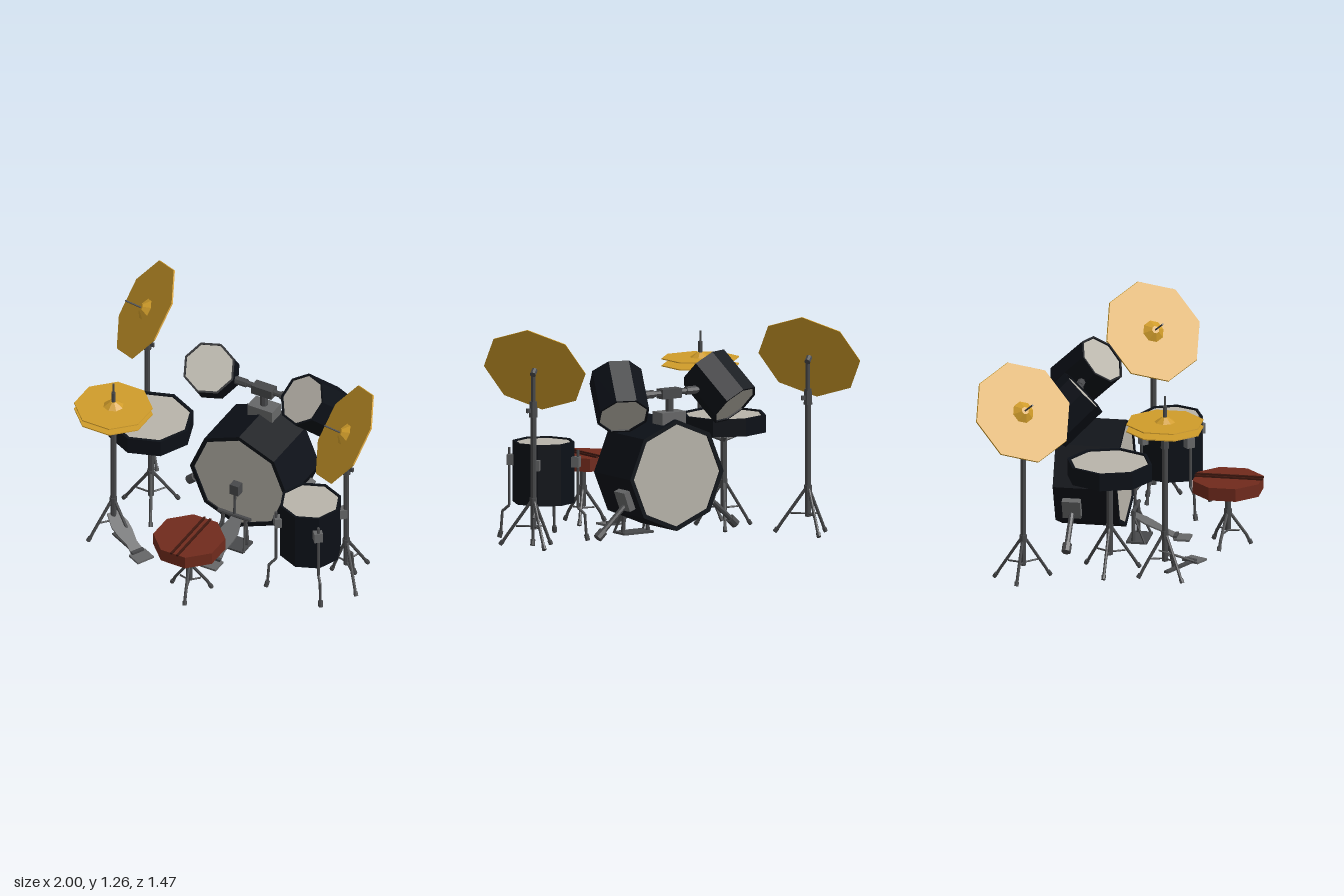
import * as THREE from 'three';

const mat = (color) => new THREE.MeshStandardMaterial({ color, flatShading: true, side: THREE.DoubleSide });
const black = mat(0x0c1017), skin = mat(0xb8b4aa), brass = mat(0xd09c2a);
const metal = mat(0x48494b), plate = mat(0x666768), red = mat(0x702a1c), darkRed = mat(0x40180f);
const V = (x, y, z) => new THREE.Vector3(x, y, z);
const UP = V(0, 1, 0);

function add(parent, name, geo, material, x = 0, y = 0, z = 0) {
  const m = new THREE.Mesh(geo, material);
  m.name = name;
  m.position.set(x, y, z);
  parent.add(m);
  return m;
}
function group(parent, name, x = 0, y = 0, z = 0) {
  const g = new THREE.Group();
  g.name = name;
  g.position.set(x, y, z);
  parent.add(g);
  return g;
}
const box = (p, name, w, h, d, x, y, z, m = metal) => add(p, name, new THREE.BoxGeometry(w, h, d), m, x, y, z);
const disc = (p, name, rTop, rBottom, h, y, m) => add(p, name, new THREE.CylinderGeometry(rTop, rBottom, h, 8), m, 0, y, 0);

// Straight bar between two points
function rod(parent, name, a, b, r, r2 = r, material = metal) {
  const d = b.clone().sub(a);
  const m = add(parent, name, new THREE.CylinderGeometry(r2, r, d.length(), 8), material);
  m.position.copy(a).addScaledVector(d, 0.5);
  m.quaternion.setFromUnitVectors(UP, d.normalize());
  return m;
}

// Eight-sided drum with raised rims and a recessed head at each end, axis along y
function drum(parent, name, r, h) {
  const g = group(parent, name);
  const e = h / 2, i = r * 0.92;
  const profile = [[i, -e + 0.012], [i, -e], [r, -e], [r, e], [i, e], [i, e - 0.012]];
  add(g, 'shell', new THREE.LatheGeometry(profile.map(([x, y]) => new THREE.Vector2(x, y)), 8), black);
  disc(g, 'heads', r * 0.93, r * 0.93, h - 0.018, 0, skin);
  return g;
}

// Splayed legs meeting on a central pole; feet are x, z offsets
function tripod(parent, feet, hubY, r = 0.009) {
  const g = group(parent, 'tripod');
  for (const [x, z] of feet) {
    const knee = V(x * 0.85, 0.06, z * 0.85);
    rod(g, 'leg', V(x * 0.07, hubY, z * 0.07), knee, r);
    rod(g, 'legEnd', knee, V(x, 0.018, z), r);
    rod(g, 'foot', V(x * 0.97, 0.03, z * 0.97), V(x * 1.06, 0.008, z * 1.06), r * 1.4);
    rod(g, 'brace', V(0, hubY * 0.45, 0), V(x * 0.55, hubY * 0.45, z * 0.55), r * 0.6);
  }
  disc(g, 'hub', 0.022, 0.022, 0.04, hubY, metal);
  return g;
}
const ring3 = (r, turn) => [0, 1, 2].map((i) => {
  const a = turn + i * Math.PI * 2 / 3;
  return [r * Math.sin(a), r * Math.cos(a)];
});

// Tilted cymbal on a tripod stand
function crash(parent, x, z) {
  const g = group(parent, 'crashCymbal', x, 0, z);
  rod(g, 'lowerPole', V(0, 0.1, 0), V(0, 0.78, 0), 0.017);
  rod(g, 'collar', V(0, 0.74, 0), V(0, 0.83, 0), 0.025, 0.021);
  box(g, 'wingScrew', 0.05, 0.025, 0.012, 0.02, 0.78, 0);
  rod(g, 'upperPole', V(0, 0.8, 0), V(0, 1.0, 0), 0.013);
  tripod(g, [[0.13, 0.125], [-0.1, -0.02], [0.04, -0.165]], 0.26);
  const head = group(g, 'cymbal', -0.01, 1.012, 0);
  const n = V(-0.66, 0.55, 0.51).normalize();
  const side = new THREE.Vector3().crossVectors(n, V(0.12, 0.245, -0.106)).normalize();
  head.quaternion.setFromRotationMatrix(
    new THREE.Matrix4().makeBasis(side, n, new THREE.Vector3().crossVectors(side, n)));
  disc(head, 'plate', 0.298, 0.301, 0.007, 0, brass);
  disc(head, 'bell', 0.022, 0.068, 0.034, 0.018, brass);
  rod(head, 'pin', V(0, -0.04, 0), V(0, 0.14, 0), 0.005);
  disc(head, 'tilter', 0.018, 0.018, 0.04, -0.025, metal);
}

// Foot pedal: toe at the origin, heel towards +z
function pedal(parent, name) {
  const g = group(parent, name);
  const s = new THREE.Shape();
  const half = [[0.032, 0], [0.056, 0.09], [0.05, 0.15], [0.034, 0.22], [0.04, 0.28]];
  half.forEach(([w, l], i) => (i ? s.lineTo(w, l) : s.moveTo(w, l)));
  half.slice().reverse().forEach(([w, l]) => s.lineTo(-w, l));
  const board = add(g, 'footboard', new THREE.ExtrudeGeometry(s, { depth: 0.008, bevelEnabled: false }), plate, 0, 0.165, -0.015);
  board.rotation.x = Math.PI / 2 + 0.44;
  box(g, 'heelPlate', 0.11, 0.012, 0.09, 0, 0.033, 0.28, plate);
  box(g, 'hinge', 0.08, 0.022, 0.02, 0, 0.042, 0.24);
  return g;
}

function bassDrum(kit) {
  const g = group(kit, 'bassDrum', 0.075, 0, 0);
  const d = drum(g, 'bassShell', 0.318, 0.367);
  d.position.set(0, 0.397, -0.228);
  d.rotation.x = Math.PI / 2;
  // Spurs on both sides
  for (const s of [-1, 1]) {
    const b = box(g, 'spurBracket', 0.04, 0.115, 0.105, s * 0.285, 0.267, -0.307, plate);
    b.rotation.z = -s * 0.35;
    rod(g, 'spur', V(s * 0.28, 0.24, -0.307), V(s * 0.45, 0.085, -0.307), 0.016);
    rod(g, 'spurFoot', V(s * 0.43, 0.102, -0.307), V(s * 0.47, 0.066, -0.307), 0.027);
  }
  // Mount and rack toms
  box(g, 'mountBase', 0.16, 0.07, 0.1, 0, 0.72, -0.335, plate);
  rod(g, 'mountPost', V(0, 0.74, -0.335), V(0, 0.86, -0.335), 0.023);
  box(g, 'mountBlock', 0.13, 0.055, 0.065, 0, 0.858, -0.335);
  rod(g, 'mountBar', V(-0.24, 0.862, -0.335), V(0.24, 0.862, -0.335), 0.017);
  for (const s of [-1, 1]) {
    rod(g, 'mountSleeve', V(s * 0.11, 0.862, -0.335), V(s * 0.18, 0.862, -0.335), 0.024);
    const t = drum(g, 'rackTom', 0.153, 0.29);
    t.position.set(s * 0.34, 0.868, -0.335);
    t.quaternion.setFromUnitVectors(UP, V(-s * 0.08, 0.2, 0.2).normalize());
  }
  // Pedal with frame and beater
  const p = pedal(g, 'bassPedal');
  box(p, 'basePlate', 0.2, 0.012, 0.12, 0, 0.018, 0.03);
  for (const s of [-1, 1]) {
    rod(p, 'framePost', V(s * 0.085, 0.02, 0.01), V(s * 0.07, 0.205, 0.01), 0.012);
    rod(p, 'frameStay', V(s * 0.1, 0.015, 0.08), V(s * 0.07, 0.17, 0.01), 0.007);
  }
  rod(p, 'frameAxle', V(-0.105, 0.2, 0.01), V(0.105, 0.2, 0.01), 0.012);
  rod(p, 'beaterShaft', V(0, 0.19, 0.01), V(0, 0.36, 0.0), 0.008);
  box(p, 'beater', 0.055, 0.065, 0.05, 0, 0.375, -0.01);
}

function floorTom(kit) {
  const g = group(kit, 'floorTom', 0.627, 0, 0.117);
  drum(g, 'floorTomShell', 0.178, 0.35).position.y = 0.4;
  for (let i = 0; i < 4; i++) {
    const leg = group(g, 'floorTomLeg');
    leg.rotation.y = Math.PI / 4 + i * Math.PI / 2 - 0.05;
    box(leg, 'bracket', 0.05, 0.06, 0.05, 0, 0.462, 0.185, plate);
    const path = [[0.2, 0.53], [0.2, 0.2], [0.24, 0.165], [0.25, 0.03]].map(([r, y]) => V(0, y, r));
    for (let k = 0; k < 3; k++) rod(leg, 'legRod', path[k], path[k + 1], 0.008);
    rod(leg, 'rubberFoot', V(0, 0.05, 0.248), V(0, 0.015, 0.258), 0.014);
  }
}

function snare(kit) {
  const g = group(kit, 'snareDrum', -0.492, 0, -0.04);
  const d = drum(g, 'snareShell', 0.246, 0.1);
  d.position.y = 0.605;
  d.rotation.y = -0.06;
  rod(g, 'snarePole', V(0, 0.1, 0), V(0, 0.53, 0), 0.018);
  tripod(g, ring3(0.17, 0.5), 0.26);
  for (const [x, z] of ring3(0.2, 0.5)) rod(g, 'basketArm', V(0, 0.5, 0), V(x, 0.552, z), 0.009);
}

function hiHat(kit) {
  const g = group(kit, 'hiHat', -0.552, 0, 0.287);
  for (const [y, name] of [[0.885, 'lowerCymbal'], [0.925, 'upperCymbal']])
    disc(g, name, 0.223, 0.224, 0.006, y, brass).rotation.y = Math.PI / 8;
  disc(g, 'bell', 0.018, 0.06, 0.03, 0.942, brass);
  rod(g, 'pole', V(0, 0.1, 0), V(0, 0.8, 0), 0.017);
  rod(g, 'collar', V(0, 0.77, 0), V(0, 0.86, 0), 0.024, 0.02);
  rod(g, 'pullRod', V(0, 0.8, 0), V(0, 1.08, 0), 0.006);
  rod(g, 'clutch', V(0, 0.95, 0), V(0, 1.02, 0), 0.012);
  tripod(g, ring3(0.145, -0.7), 0.26);
  const p = pedal(g, 'hiHatPedal');
  p.rotation.y = 1.107;
  box(p, 'link', 0.03, 0.012, 0.24, 0, 0.03, 0.13);
}

function stool(kit) {
  const g = group(kit, 'stool', 0.078, 0, 0.537);
  disc(g, 'seat', 0.205, 0.205, 0.075, 0.363, red).rotation.y = Math.PI / 8;
  for (const x of [-0.006, 0.032]) box(g, 'seatStrip', 0.012, 0.01, 0.39, x, 0.406, 0.005, darkRed);
  rod(g, 'post', V(0, 0.1, 0), V(0, 0.33, 0), 0.018);
  tripod(g, ring3(0.125, 0.3), 0.2);
}

export function createModel() {
  const kit = new THREE.Group();
  kit.name = 'drumKit';
  bassDrum(kit);
  floorTom(kit);
  snare(kit);
  hiHat(kit);
  stool(kit);
  crash(kit, -0.765, -0.487);
  crash(kit, 0.785, -0.015);
  return kit;
}
